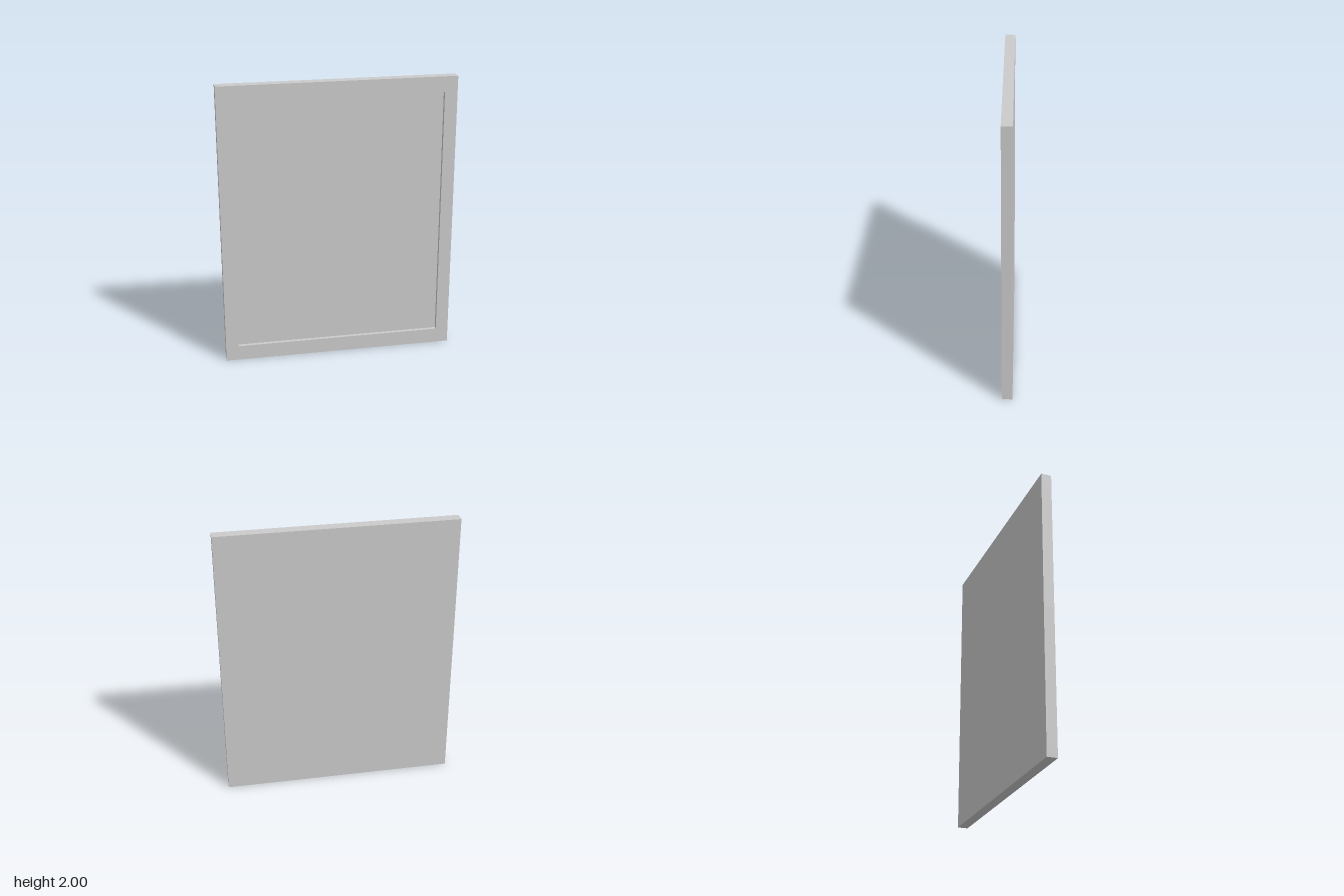
import * as THREE from 'three';

const W = 0.817, H = 1;            // half width, half height
const IW = 0.728, IH = 0.893;      // half size of the recess
const CX = 0.11, CY = 0.09;        // corner cap legs
const BACK = -0.036, FLOOR = 0.01, FRONT = 0.036;

export function createModel() {
  const root = new THREE.Group();
  root.name = 'recessedPanel';
  const material = new THREE.MeshStandardMaterial({ color: 0xcccccc, flatShading: true });

  // Flat slab from an outline, mirrored into one quadrant
  const slab = (name, points, sx, sy, z0, z1) => {
    const shape = new THREE.Shape(points.map(([x, y]) => new THREE.Vector2(x * sx, y * sy)));
    const geometry = new THREE.ExtrudeGeometry(shape, { depth: z1 - z0, bevelEnabled: false });
    geometry.translate(0, H, z0);
    const mesh = new THREE.Mesh(geometry, material);
    mesh.name = name;
    return mesh;
  };

  const outer = [[W, 0], [W, H - CY], [W - CX, H], [0, H]];
  const panel = [[0, 0], ...outer];
  const border = [[IW, 0], ...outer, [0, IH], [IW, IH]];
  const corner = [[W, H - CY], [W, H], [W - CX, H]];

  for (const sx of [-1, 1]) {
    for (const sy of [-1, 1]) {
      const quarter = new THREE.Group();
      quarter.name = (sy > 0 ? 'upper' : 'lower') + (sx > 0 ? 'Left' : 'Right') + 'Quarter';
      quarter.add(
        slab('backPanel', panel, sx, sy, BACK, FLOOR),
        slab('frameBorder', border, sx, sy, FLOOR, FRONT),
        // Corner cap in two halves that meet mid-thickness
        slab('cornerCapBack', corner, sx, sy, BACK, 0),
        slab('cornerCapFront', corner, sx, sy, 0, FRONT),
      );
      root.add(quarter);
    }
  }
  return root;
}
